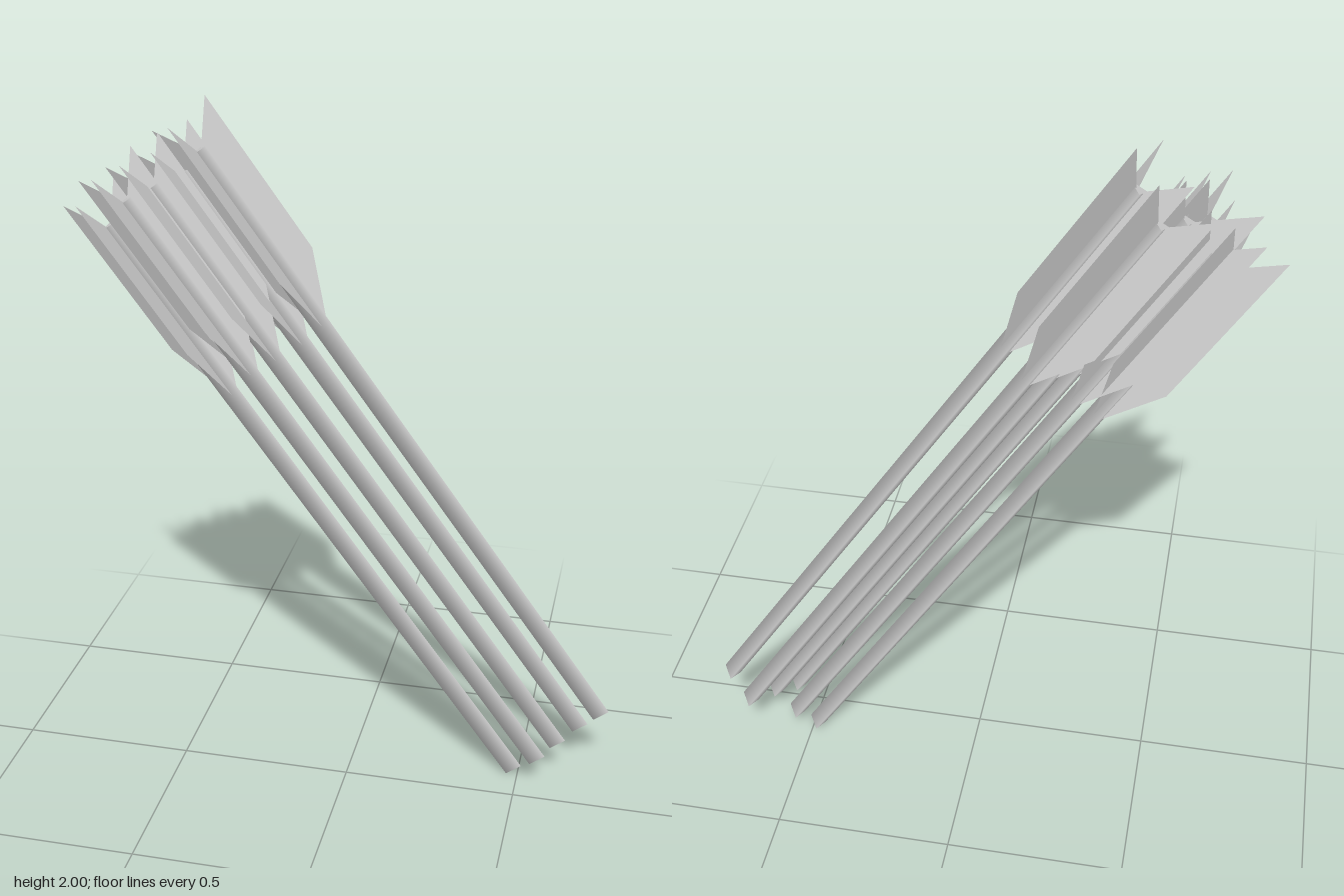
import * as THREE from 'three';

const SHAFT_LENGTH = 2.0;
const SHAFT_RADIUS = 0.03;
const TWIST = THREE.MathUtils.degToRad(24);

// Foot of each arrow's axis; all arrows lean the same way
const FEET = [
  [0.73, 0.22, -0.153],
  [0.67, 0.147, -0.185],
  [0.612, 0.128, -0.114],
  [0.56, 0.105, -0.054],
  [0.546, 0.063, -0.128],
  [0.487, 0.015, -0.117],
];

export function createModel() {
  const model = new THREE.Group();
  model.name = 'arrowBundle';

  const shaftMaterial = new THREE.MeshStandardMaterial({ color: 0xcccccc });
  const vaneMaterial = new THREE.MeshStandardMaterial({ color: 0xcccccc, side: THREE.DoubleSide });

  // Three-sided shaft with one edge along local +x
  const shaftGeometry = new THREE.CylinderGeometry(SHAFT_RADIUS, SHAFT_RADIUS, SHAFT_LENGTH, 3);
  shaftGeometry.rotateY(Math.PI / 2).translate(0, SHAFT_LENGTH / 2, 0);

  // Vane outline: x is the distance from the axis, y the distance along it
  const vaneGeometry = new THREE.ShapeGeometry(new THREE.Shape([
    new THREE.Vector2(0.01, 1.43),
    new THREE.Vector2(0.098, 1.62),
    new THREE.Vector2(0.098, 2.1),
    new THREE.Vector2(0.01, 2.0),
  ]));

  // Common lean of the bundle
  const axis = new THREE.Vector3(-0.557, 0.826, 0.08).normalize();
  const side = new THREE.Vector3(axis.y, -axis.x, 0).normalize();
  const lean = new THREE.Matrix4().makeBasis(side, axis, side.clone().cross(axis));

  FEET.forEach((foot, i) => {
    const arrow = new THREE.Group();
    arrow.name = `arrow${i + 1}`;
    arrow.quaternion.setFromRotationMatrix(lean);
    arrow.position.set(...foot);

    const shaft = new THREE.Mesh(shaftGeometry, shaftMaterial);
    shaft.name = 'shaft';
    shaft.rotation.y = -TWIST;
    arrow.add(shaft);

    // One vane on the middle of each shaft face
    for (let k = 0; k < 3; k++) {
      const vane = new THREE.Mesh(vaneGeometry, vaneMaterial);
      vane.name = `vane${k + 1}`;
      vane.rotation.y = -(TWIST + Math.PI / 3 + (k * Math.PI * 2) / 3);
      arrow.add(vane);
    }
    model.add(arrow);
  });

  return model;
}
